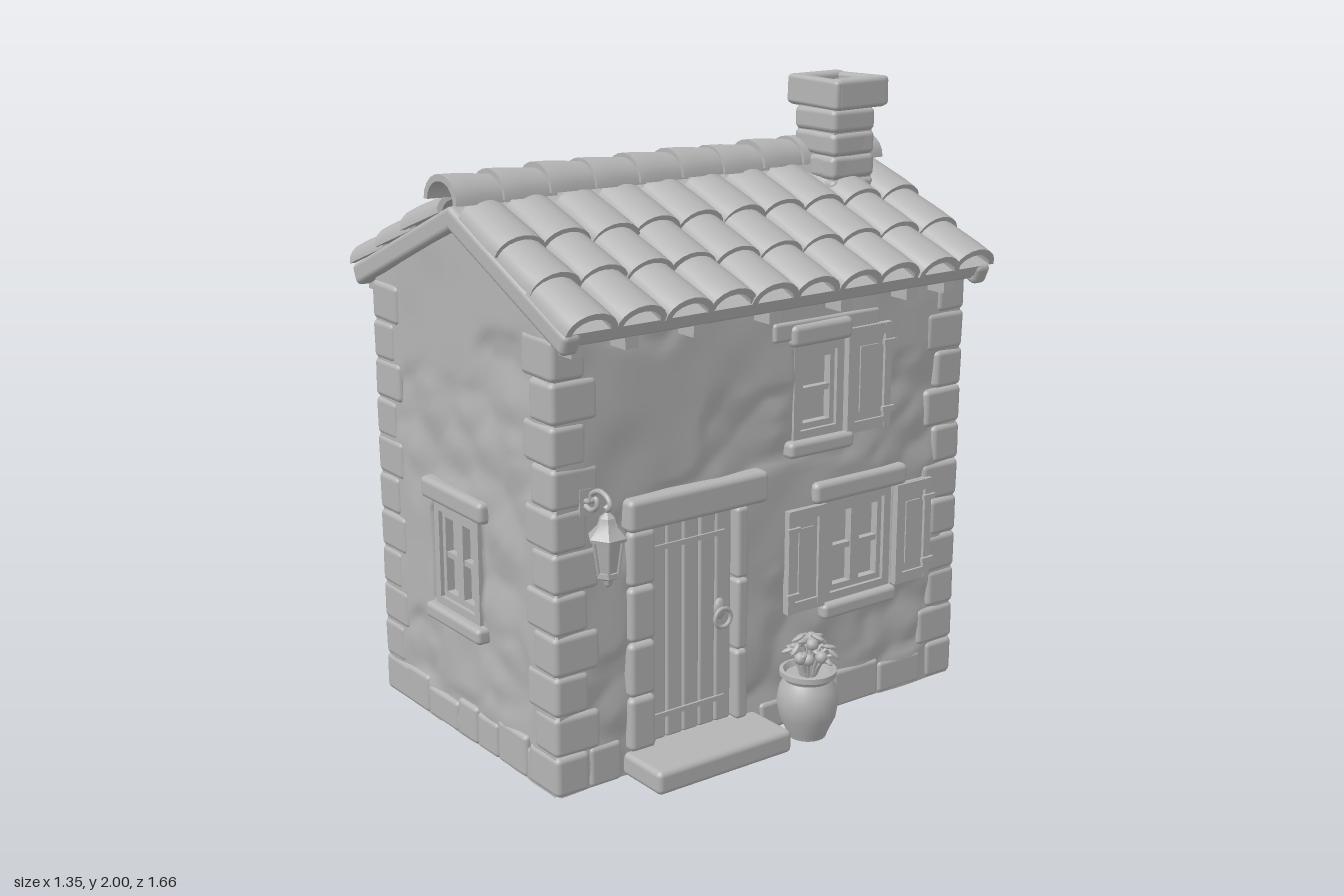
import * as THREE from 'three';
import { RoundedBoxGeometry } from 'three/addons/geometries/RoundedBoxGeometry.js';
import { mergeVertices, toCreasedNormals } from 'three/addons/utils/BufferGeometryUtils.js';

const clay = new THREE.MeshStandardMaterial({ color: 0xb4b4b4, side: THREE.DoubleSide });
clay.name = 'clay grey';

let seed = 7;
const rnd = (a = 0, b = 1) => {
  seed = (seed * 16807) % 2147483647;
  return a + (b - a) * (seed / 2147483647);
};
const hash = (x, y) => { const s = Math.sin(x * 127.1 + y * 311.7) * 43758.5453; return s - Math.floor(s); };
const smooth = THREE.MathUtils.smoothstep, lerp = THREE.MathUtils.lerp;
function noise(x, y) {
  const i = Math.floor(x), j = Math.floor(y), u = smooth(x - i, 0, 1), v = smooth(y - j, 0, 1);
  return lerp(lerp(hash(i, j), hash(i + 1, j), u), lerp(hash(i, j + 1), hash(i + 1, j + 1), u), v);
}
function cellDistance(x, y) {
  let d = 9;
  for (let i = -1; i < 2; i++) for (let j = -1; j < 2; j++) {
    const a = Math.floor(x) + i, b = Math.floor(y) + j;
    d = Math.min(d, Math.hypot(a + hash(a, b) - x, b + hash(b + 9, a) - y));
  }
  return d;
}

function add(parent, name, geo, x = 0, y = 0, z = 0) {
  const m = new THREE.Mesh(geo, clay);
  m.name = name;
  m.position.set(x, y, z);
  parent.add(m);
  return m;
}
function group(parent, name, x = 0, y = 0, z = 0) {
  const g = new THREE.Group();
  g.name = name;
  g.position.set(x, y, z);
  parent.add(g);
  return g;
}
const box = (p, name, w, h, d, x, y, z) => add(p, name, new THREE.BoxGeometry(w, h, d), x, y, z);
function stone(p, name, w, h, d, x, y, z, wobble = 0.02) {
  const r = Math.min(0.018, w * 0.3, h * 0.3, d * 0.3);
  const m = add(p, name, new RoundedBoxGeometry(w, h, d, 2, r), x, y, z);
  m.rotation.set(rnd(-wobble, wobble), rnd(-wobble, wobble), rnd(-wobble, wobble));
  return m;
}

// Patchy plaster over rubble; openings are [u, y, width, height] recesses
function wall(parent, name, width, top, openings) {
  const geo = new THREE.PlaneGeometry(width, 1, Math.round(width / 0.02), 70), p = geo.attributes.position;
  const off = rnd(0, 50);
  for (let i = 0; i < p.count; i++) {
    const u = p.getX(i), y = (p.getY(i) + 0.5) * top(u), a = u + off;
    const rubble = 0.012 - 0.022 * Math.min(1, cellDistance(a * 6, y * 7));
    const plaster = 0.008 + 0.01 * (noise(a * 7, y * 7) - 0.5);
    let h = lerp(rubble, plaster, smooth(noise(a * 4, y * 4), 0.42, 0.55));
    if (openings.some(o => Math.abs(u - o[0]) < o[2] / 2 && Math.abs(y - o[1]) < o[3] / 2)) h = -0.05;
    p.setXYZ(i, u, y, h);
  }
  geo.computeVertexNormals();
  return add(parent, name, geo);
}

// Casement window, facing +z
function windowUnit(parent, x, y, w, h, cols, lintel, sill) {
  const g = group(parent, 'window', x, y, 0), f = 0.028;
  box(g, 'glass', w, h, 0.006, 0, 0, -0.03);
  for (const s of [-1, 1]) {
    box(g, 'frameSide', f, h, 0.05, s * (w - f) / 2, 0, -0.012);
    box(g, 'frameRail', w, f, 0.05, 0, s * (h - f) / 2, -0.012);
  }
  const iw = w - 2 * f, ih = h - 2 * f, cw = iw / cols;
  for (let c = 0; c < cols; c++) {
    const cx = -iw / 2 + cw * (c + 0.5);
    for (const s of [-1, 1]) {
      box(g, 'sashStile', 0.018, ih, 0.03, cx + s * (cw / 2 - 0.009), 0, -0.015);
      box(g, 'sashRail', cw, 0.02, 0.03, cx, s * (ih / 2 - 0.01), -0.015);
    }
    box(g, 'glazingBar', cw, 0.018, 0.025, cx, 0, -0.017);
  }
  stone(g, 'lintel', lintel, 0.07, 0.07, 0, h / 2 + 0.035, 0, 0.01);
  stone(g, 'sill', sill, 0.052, 0.08, 0, -h / 2 - 0.024, 0, 0.01);
}

function shutter(parent, x, y, w, h, hingeSide, angle = 0) {
  const pivot = group(parent, 'shutter', x + hingeSide * w / 2, y, 0.014);
  pivot.rotation.y = hingeSide * angle;
  const g = group(pivot, 'shutterLeaf', -hingeSide * w / 2, 0, 0);
  box(g, 'shutterPanel', w, h, 0.012, 0, 0, 0);
  for (const s of [-1, 1]) {
    box(g, 'shutterStile', 0.028, h, 0.026, s * (w / 2 - 0.014), 0, 0.003);
    box(g, 'shutterRail', w, 0.035, 0.024, 0, s * (h / 2 - 0.018), 0.003);
    box(g, 'hinge', 0.05, 0.016, 0.012, hingeSide * (w / 2 - 0.015), s * h * 0.32, 0.02);
  }
  box(g, 'raisedPanel', w * 0.4, h * 0.62, 0.018, 0, 0, 0.002);
}

// Half-barrel tile running along +z, wider at its far end
function tileGeometry(len, a, b, flare) {
  const pts = [], n = 10, t = 0.02;
  for (let i = 0; i <= n; i++) pts.push(new THREE.Vector2(a * Math.cos(Math.PI * i / n), b * Math.sin(Math.PI * i / n)));
  for (let i = n; i >= 0; i--) pts.push(new THREE.Vector2((a - t) * Math.cos(Math.PI * i / n), (b - t) * Math.sin(Math.PI * i / n)));
  let geo = new THREE.ExtrudeGeometry(new THREE.Shape(pts), { depth: len, steps: 4, bevelEnabled: false });
  const p = geo.attributes.position;
  for (let i = 0; i < p.count; i++) {
    const q = p.getZ(i) / len, k = 1 + flare * (q - 0.6) - 0.04 * smooth(q, 0.9, 1);
    p.setXY(i, p.getX(i) * k, p.getY(i) * k);
  }
  geo.deleteAttribute('normal');
  geo.deleteAttribute('uv');
  return toCreasedNormals(mergeVertices(geo, 1e-4), 0.7);
}

function buildRoof(house) {
  const pitch = Math.atan(0.45), step = 0.163;
  const tile = tileGeometry(0.225, 0.085, 0.062, 0.14), ridge = tileGeometry(0.19, 0.092, 0.08, 0.16);
  for (const s of [1, -1]) {
    const side = group(house, 'roofSide', 0, 1.695, 0);
    side.rotation.y = s > 0 ? 0 : Math.PI;
    const slope = group(side, 'roofSlope');
    slope.rotation.z = -pitch;
    box(slope, 'roofDeck', 0.665, 0.035, 1.58, 0.3325, -0.018, 0);
    for (const e of [-1, 1]) stone(slope, 'bargeBoard', 0.68, 0.07, 0.06, 0.335, -0.035, e * 0.785, 0.003);
    stone(slope, 'eaveBoard', 0.05, 0.05, 1.58, 0.635, -0.03, 0, 0);
    for (let c = 0; c < 10; c++) for (let r = 0; r < 3; r++) {
      const m = add(slope, 'roofTile', tile, 0.06 + 0.196 * r + rnd(-0.006, 0.006), -0.004, (c - 4.5) * step + rnd(-0.004, 0.004));
      m.rotation.set(0, Math.PI / 2 + rnd(-0.02, 0.02), 0.05, 'ZYX');
    }
    for (const z of [0.75, 0.57, 0.33, 0.05, -0.23, -0.5, -0.66]) box(house, 'rafterEnd', 0.1, 0.05, 0.045, s * 0.53, 1.37, z);
  }
  for (let i = 0; i < 10; i++) add(house, 'ridgeTile', ridge, 0, 1.705 + rnd(-0.004, 0.004), -0.82 + i * step).rotation.x = -0.03;
}

function buildChimney(house) {
  const g = group(house, 'chimney', 0.105, 0, -0.585);
  box(g, 'chimneyShaft', 0.18, 0.36, 0.16, 0, 1.73, 0);
  for (let i = 0; i < 4; i++) for (const s of [-1, 1]) {
    const w = i % 2 ? 0.08 : 0.12;
    stone(g, 'chimneyStone', w, 0.075, 0.18, s * (0.1 - w / 2), 1.63 + i * 0.075, 0);
    stone(g, 'chimneyStone', 0.2 - w, 0.075, 0.18, -s * (0.1 - (0.2 - w) / 2) * (s > 0 ? 1 : 0.98), 1.63 + i * 0.075, 0);
  }
  for (const s of [-1, 1]) {
    stone(g, 'chimneyCap', 0.25, 0.095, 0.045, 0.01, 1.945, s * 0.09);
    stone(g, 'chimneyCap', 0.055, 0.1, 0.21, 0.01 + s * 0.1, 1.945, 0);
  }
}

function buildDoor(side) {
  const g = group(side, 'door', -0.295, 0, 0);
  for (let i = 0; i < 5; i++) stone(g, 'doorPlank', 0.061, 0.7, 0.03, (i - 2) * 0.062, 0.43, -0.02, 0.003);
  for (const y of [0.16, 0.7]) box(g, 'doorStrap', 0.27, 0.016, 0.008, -0.01, y, -0.002);
  for (let i = 0; i < 4; i++) stone(g, 'doorJamb', 0.095, 0.172, 0.06, -0.2, 0.166 + i * 0.175, 0, 0.012);
  for (let i = 0; i < 3; i++) stone(g, 'doorJamb', 0.045, 0.23, 0.06, 0.175, 0.195 + i * 0.233, 0, 0.012);
  stone(g, 'doorLintel', 0.52, 0.1, 0.08, 0, 0.83, 0.01, 0.006);
  stone(g, 'doorStep', 0.51, 0.075, 0.22, 0, 0.038, 0.07, 0);
  const plate = add(g, 'handlePlate', new THREE.SphereGeometry(0.022, 12, 8), 0.105, 0.455, 0);
  plate.scale.set(1, 1.6, 0.6);
  add(g, 'handleRing', new THREE.TorusGeometry(0.03, 0.007, 8, 20), 0.105, 0.43, 0.018);
}

function buildLantern(root) {
  const g = group(root, 'lantern', 0.59, 0, 0.69);
  const lathe = (name, pts, n) => add(g, name, toCreasedNormals(new THREE.LatheGeometry(pts.map(p => new THREE.Vector2(...p)), n), 0.5));
  lathe('lanternRoof', [[0, 0.925], [0.012, 0.915], [0.006, 0.9], [0.024, 0.885], [0.032, 0.86], [0.06, 0.83], [0.058, 0.82], [0, 0.82]], 6);
  lathe('lanternGlass', [[0, 0.82], [0.042, 0.82], [0.027, 0.72], [0, 0.72]], 6);
  lathe('lanternBase', [[0, 0.725], [0.036, 0.725], [0.036, 0.71], [0.016, 0.7], [0.012, 0.685], [0, 0.675]], 6);
  for (let i = 0; i < 6; i++) {
    const a = i * Math.PI / 3;
    const bar = new THREE.LineCurve3(new THREE.Vector3(0.047 * Math.sin(a), 0.825, 0.047 * Math.cos(a)), new THREE.Vector3(0.031 * Math.sin(a), 0.715, 0.031 * Math.cos(a)));
    add(g, 'lanternBar', new THREE.TubeGeometry(bar, 1, 0.005, 5));
  }
  const path = (name, pts) => add(g, name, new THREE.TubeGeometry(new THREE.CatmullRomCurve3(pts.map(p => new THREE.Vector3(p[0], p[1], 0))), 28, 0.008, 7));
  path('lanternArm', [[-0.11, 0.905], [-0.085, 0.91], [-0.075, 0.935], [-0.035, 0.952], [0.005, 0.94], [0.015, 0.92], [0, 0.905]]);
  path('lanternScroll', [[-0.11, 0.89], [-0.08, 0.885], [-0.05, 0.905], [-0.055, 0.925], [-0.07, 0.915]]);
  box(g, 'lanternPlate', 0.014, 0.08, 0.04, -0.115, 0.9, 0);
}

function buildPlant(root) {
  const g = group(root, 'flowerPot', 0.568, 0, -0.083);
  const profile = [[0, 0], [0.06, 0], [0.065, 0.015], [0.09, 0.07], [0.098, 0.12], [0.09, 0.165], [0.075, 0.19], [0.078, 0.198],
    [0.09, 0.205], [0.09, 0.222], [0.078, 0.224], [0.07, 0.205], [0, 0.2]].map(p => new THREE.Vector2(...p));
  add(g, 'pot', toCreasedNormals(new THREE.LatheGeometry(profile, 28), 0.7));
  for (let i = 0; i < 26; i++) {
    const a = i * 2.4, r = rnd(0.03, 0.088), h = 0.35 - r * 0.75 + rnd(-0.02, 0.01), c = Math.cos(a), s = Math.sin(a);
    const stem = new THREE.QuadraticBezierCurve3(new THREE.Vector3(c * 0.02, 0.19, s * 0.02), new THREE.Vector3(c * r * 0.5, h, s * r * 0.5), new THREE.Vector3(c * r, h - 0.01, s * r));
    add(g, 'stem', new THREE.TubeGeometry(stem, 6, 0.006, 5));
    const leaf = add(g, i % 4 ? 'leaf' : 'bloom', new THREE.SphereGeometry(0.02, 8, 6), c * r * 0.9, h - 0.005, s * r * 0.9);
    leaf.rotation.set(0, -a, rnd(-0.9, 0.2));
    if (i % 4) leaf.scale.set(1.2, 0.35, 0.55);
  }
}

export function createModel() {
  const root = new THREE.Group();
  root.name = 'stoneCottage';
  const house = group(root, 'house', -0.035, 0, 0);
  box(house, 'footing', 0.99, 0.02, 1.57, 0, 0.01, 0);

  // Gable ends
  for (const s of [1, -1]) {
    const end = group(house, 'gableEnd', 0, 0, s * 0.785);
    end.rotation.y = s > 0 ? 0 : Math.PI;
    wall(end, 'gableWall', 1, u => 1.66 - 0.45 * Math.abs(u), [[-s * 0.035, 0.58, 0.25, 0.33]]);
    windowUnit(end, -s * 0.035, 0.58, 0.26, 0.34, 2, 0.36, 0.32);
    baseCourse(end, -0.42, 0.42);
  }

  // Long sides, laid out by u running along the wall
  for (const s of [1, -1]) {
    const side = group(house, s > 0 ? 'doorSide' : 'plainSide', s * 0.5, 0, 0);
    side.rotation.y = s * Math.PI / 2;
    const third = s > 0 ? [-0.295, 0.43, 0.3, 0.7] : [0.35, 0.58, 0.25, 0.35];
    wall(side, 'sideWall', 1.57, () => 1.43, [[s * 0.36, 0.55, 0.27, 0.33], [s * 0.185, 1.09, 0.19, 0.29], third]);
    windowUnit(side, s * 0.36, 0.55, 0.28, 0.34, 2, 0.39, 0.31);
    shutter(side, s * 0.135, 0.55, 0.15, 0.34, -s);
    shutter(side, s * 0.59, 0.55, 0.15, 0.34, s);
    windowUnit(side, s * 0.185, 1.09, 0.2, 0.3, 1, 0.24, 0.26);
    shutter(side, s * 0.38, 1.1, 0.18, 0.34, s);
    stone(side, 'reliefStone', 0.43, 0.06, 0.035, s * 0.215, 1.29, 0, 0.01);
    if (s > 0) {
      buildDoor(side);
      baseCourse(side, -0.68, -0.56);
      baseCourse(side, -0.03, 0.68);
    } else {
      windowUnit(side, 0.35, 0.58, 0.26, 0.36, 2, 0.38, 0.34);
      baseCourse(side, -0.68, 0.68);
    }
  }

  // Corner stones, alternately long and short
  for (const sx of [-1, 1]) for (const sz of [-1, 1]) for (let i = 0; i < 11; i++) {
    const w = i % 2 ? 0.125 : 0.16, d = i % 2 ? 0.16 : 0.12, h = 1.39 / 11;
    stone(house, 'cornerStone', w, h, d, sx * (0.515 - w / 2), h * (i + 0.5), sz * (0.8 - d / 2), i ? 0.02 : 0);
  }

  buildRoof(house);
  buildChimney(house);
  buildLantern(root);
  buildPlant(root);
  return root;
}

// Row of uneven stones along the foot of a wall
function baseCourse(parent, from, to) {
  for (let u = from; u < to - 0.03;) {
    const w = Math.min(rnd(0.11, 0.2), to - u), h = rnd(0.09, 0.14);
    stone(parent, 'baseStone', w, h, 0.05, u + w / 2, h / 2, -0.012, 0);
    u += w;
  }
}
